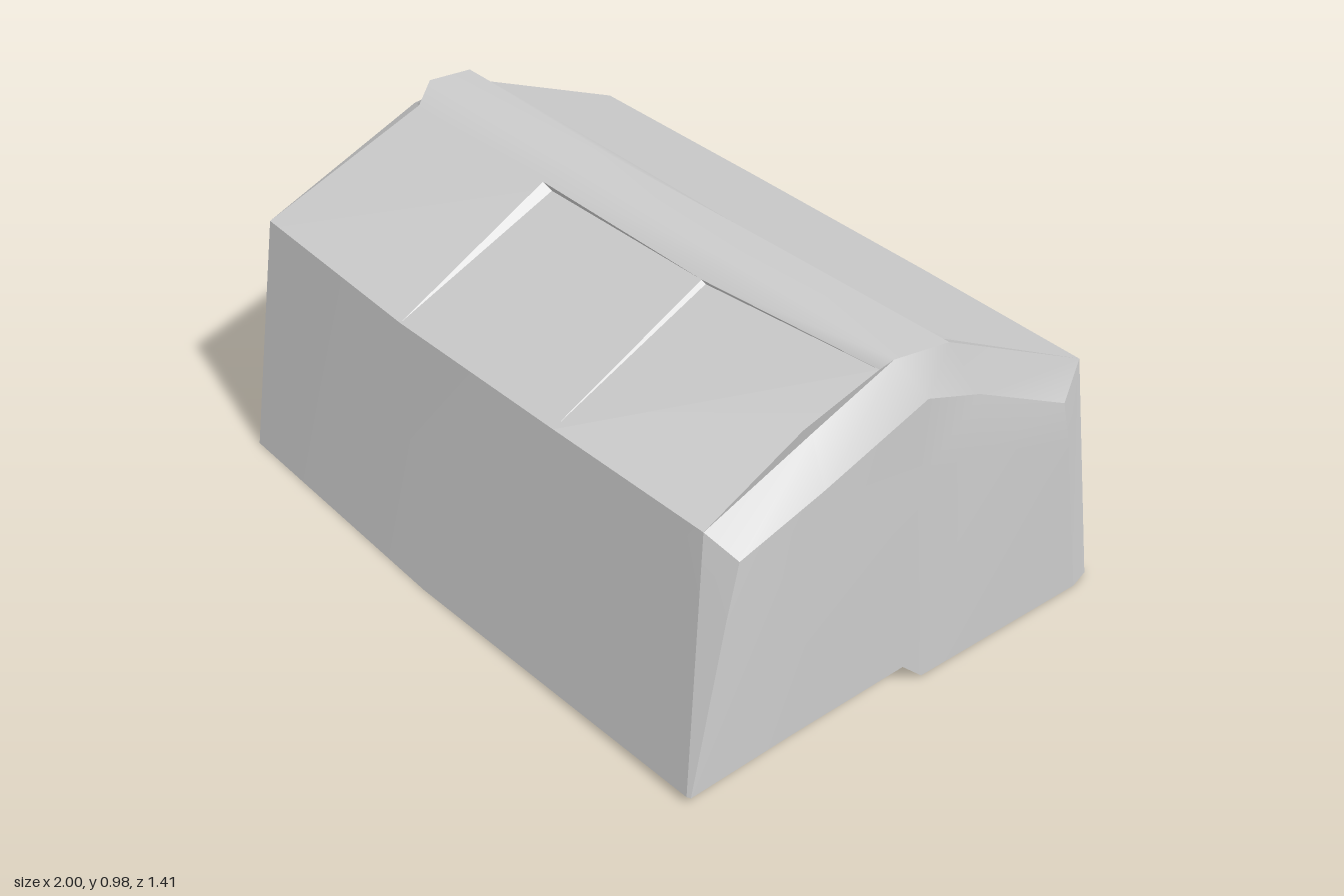
import * as THREE from 'three';

const canvas = new THREE.MeshStandardMaterial({ color: 0xcccccc, side: THREE.DoubleSide });
canvas.name = 'light grey canvas';

// Cloth sheet lofted through rows of [x, y, z] points, smooth within itself
function sheet(name, ...rows) {
  const n = rows[0].length, index = [];
  for (let r = 0; r < rows.length - 1; r++)
    for (let i = 0; i < n - 1; i++) {
      const a = r * n + i, b = a + n;
      index.push(a, a + 1, b + 1, a, b + 1, b);
    }
  const g = new THREE.BufferGeometry();
  g.setAttribute('position', new THREE.Float32BufferAttribute(rows.flat(2), 3));
  g.setIndex(index);
  g.computeVertexNormals();
  const mesh = new THREE.Mesh(g, canvas);
  mesh.name = name;
  return mesh;
}

export function createModel() {
  const tent = new THREE.Group();
  tent.name = 'tent';
  const add = (...args) => tent.add(sheet(...args));

  // Long walls, bowed slightly outwards and leaning in to the eaves
  const frontBase = [[-0.96, 0, 0.685], [-0.1, 0, 0.705], [0.96, 0.02, 0.685]];
  const frontEave = [[-0.94, 0.71, 0.59], [-0.31, 0.685, 0.59], [0.88, 0.7, 0.575]];
  const backBase = [[-0.94, 0, -0.69], [-0.3, 0, -0.705], [0.4, 0, -0.695], [0.955, 0, -0.705]];
  const backEave = [[-0.95, 0.71, -0.605], [-0.3, 0.715, -0.605], [0.4, 0.72, -0.6], [0.94, 0.715, -0.6]];
  add('frontWall', frontBase, frontEave);
  add('backWall', backEave, backBase);

  // Front roof slope in three panels, each tucked a little under its neighbour
  const frontTop = [[-0.9, 0.925, 0.11], [-0.32, 0.93, 0.115], [0.325, 0.93, 0.115], [0.92, 0.955, 0.085]];
  const eaveMid = [0.34, 0.7, 0.59];
  const tuckA = [-0.295, 0.91, 0.105], tuckB = [0.335, 0.92, 0.11];
  add('frontRoofPanel', [frontEave[0], frontEave[1]], [frontTop[0], frontTop[1]]);
  add('frontRoofPanel', [frontEave[1], eaveMid], [tuckA, frontTop[2]]);
  add('frontRoofPanel', [eaveMid, frontTop[3]], [tuckB, tuckB]);
  add('roofSeam', [frontEave[1], frontEave[1]], [frontTop[1], tuckA]);
  add('roofSeam', [eaveMid, eaveMid], [frontTop[2], tuckB]);
  add('ridgeLip', [tuckA, frontTop[2]], [frontTop[1], frontTop[2]]);
  add('ridgeLip', [tuckB, frontTop[3]], [frontTop[2], frontTop[3]]);

  // Back roof slope
  const backTop = [[-0.91, 0.93, -0.11], [-0.32, 0.935, -0.125], [0.33, 0.935, -0.125], [0.88, 0.937, -0.13]];
  add('backRoof', backTop, backEave);

  // Ridge strip laid over the tops of both slopes
  const ridge = [[-0.96, 0.955, 0.03], [-0.3, 0.963, 0.04], [0.33, 0.97, 0.05], [0.94, 0.982, 0.06]];
  const ridgeBack = [[-0.95, 0.952, -0.1], [-0.3, 0.95, -0.09], [0.33, 0.952, -0.11], [0.94, 0.957, -0.12]];
  add('ridgeStrip', frontTop, ridge, ridgeBack, backTop);

  // Sagging front corner below the diagonal fold, and the sliver closing the back corner
  const sag = [0.86, 0.83, 0.26], gableMid = [0.915, 0.862, 0.285];
  add('frontRoofFold', [eaveMid, frontEave[2]], [frontTop[3], sag]);
  add('frontRoofFoldEdge', [sag, frontEave[2]], [frontTop[3], gableMid]);
  add('frontRoofFoldEdge', [frontTop[3], gableMid], [ridge[3], ridge[3]]);
  add('backRoofEdge', [backTop[3], ridgeBack[3]], [backEave[3], backEave[3]]);

  // Right end (+x): dented panel with a raised notch at the middle of its base
  const endTop = [[0.965, 0.65, 0.54], [0.99, 0.755, 0.31], [1, 0.88, 0], [0.96, 0.78, -0.22], [0.99, 0.65, -0.5]];
  const endMid = [[0.965, 0.5, 0.575], [0.986, 0.58, 0.32], [0.995, 0.65, 0], [0.985, 0.63, -0.22], [0.987, 0.5, -0.54]];
  const endBase = [[0.97, 0.02, 0.68], [0.975, 0.045, 0.36], [0.98, 0.065, 0], [0.98, 0, -0.07], [0.975, 0, -0.64]];
  add('closedEnd', endBase, endMid, endTop);
  // Hood joining the roof edge to the end panel
  add('closedEndHood', endTop, [frontEave[2], gableMid, ridge[3], ridgeBack[3], backEave[3]]);
  add('closedEndCorner', [frontBase[2], endBase[0]], [frontEave[2], endMid[0]], [frontEave[2], endTop[0]]);
  add('closedEndCorner', [endBase[4], backBase[3]], [endMid[4], backEave[3]], [endTop[4], backEave[3]]);

  // Left end (-x): two door flaps with a tapering slit between them
  const peak = [-1, 0.89, -0.05], doorFront = [-0.945, 0.705, 0.585], doorBack = [-0.96, 0.705, -0.6];
  const footFront = [-0.975, 0, 0.665], footBack = [-0.985, 0, -0.6];
  add('doorFlapFront', [[-0.985, 0, 0.05], footFront], [peak, doorFront]);
  add('doorFlapBack', [footBack, [-0.985, 0, -0.06]], [doorBack, peak]);
  add('doorCorner', [footFront, frontBase[0]], [doorFront, frontEave[0]]);
  add('doorCorner', [backBase[0], footBack], [backEave[0], doorBack]);
  // Narrow hood over the door
  const hoodFront = [-0.997, 0.88, 0.06], hoodBack = [-0.998, 0.875, -0.1];
  add('doorHoodFront', [frontEave[0], frontTop[0]], [doorFront, hoodFront]);
  add('doorHoodTop', [frontTop[0], ridge[0], ridgeBack[0], backTop[0]], [hoodFront, peak, peak, hoodBack]);
  add('doorHoodBack', [backTop[0], backEave[0]], [hoodBack, doorBack]);

  return tent;
}
